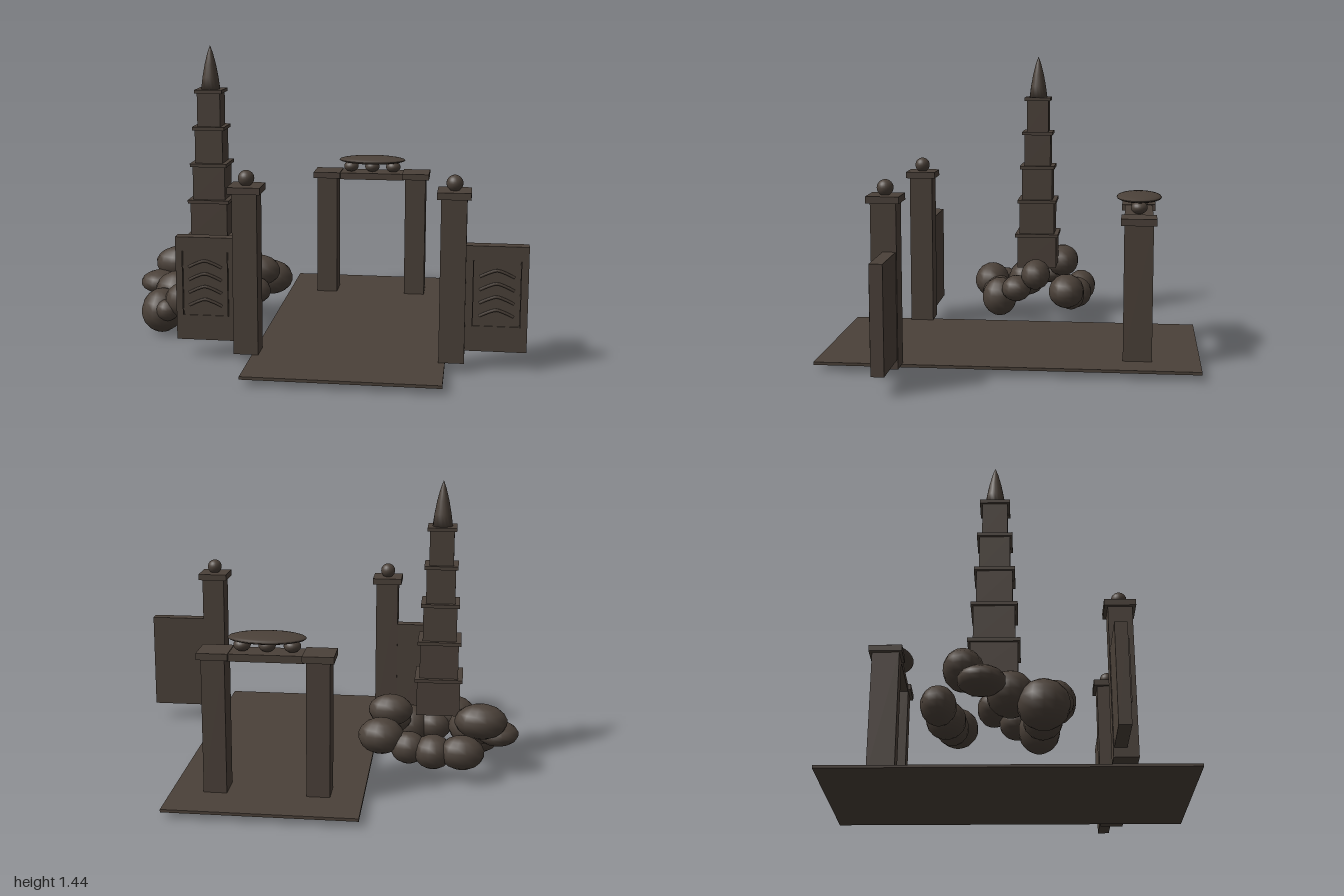
import * as THREE from 'three';

export function createModel() {
  const root = new THREE.Group();
  const stone = new THREE.MeshStandardMaterial({ color: 0x4b4139 });
  stone.name = 'darkStone';

  const add = (parent, name, geometry, x = 0, y = 0, z = 0) => {
    const mesh = new THREE.Mesh(geometry, stone);
    mesh.name = name;
    mesh.position.set(x, y, z);
    parent.add(mesh);
    return mesh;
  };
  // box given by its centre in x and z and by its bottom and top
  const block = (parent, name, x, z, w, d, y0, y1) =>
    add(parent, name, new THREE.BoxGeometry(w, y1 - y0, d), x, (y0 + y1) / 2, z);
  const ellipsoid = (parent, name, p, r, ws = 24, hs = 14) => {
    const mesh = add(parent, name, new THREE.SphereGeometry(1, ws, hs), ...p);
    mesh.scale.set(...r);
    return mesh;
  };
  const group = (name, x = 0, z = 0) => {
    const g = new THREE.Group();
    g.name = name;
    g.position.set(x, 0, z);
    root.add(g);
    return g;
  };

  // paved path
  block(root, 'path', 0.177, 0, 0.9, 1.8, 0.03, 0.044);

  // entrance pillars, each with a side wall carrying a chevron relief
  for (const [name, x, side] of [['rightPillar', -0.301, -1], ['leftPillar', 0.656, 1]]) {
    const g = group(name, x, 0.54);
    block(g, 'post', 0, 0, 0.117, 0.118, 0.044, 0.812);
    block(g, 'cap', 0, 0, 0.153, 0.153, 0.81, 0.842);
    ellipsoid(g, 'finial', [0, 0.874, 0], [0.038, 0.038, 0.038]);

    const wx = side * 0.2;
    block(g, 'wall', wx, -0.025, 0.284, 0.06, 0.09, 0.588);
    for (const s of [-1, 1]) {
      block(g, 'reliefBar', wx + s * 0.108, 0.008, 0.005, 0.01, 0.21, 0.52);
    }
    block(g, 'reliefSill', wx, 0.007, 0.216, 0.006, 0.207, 0.212);
    const chevron = new THREE.CatmullRomCurve3([
      new THREE.Vector3(-0.078, -0.033, 0.005),
      new THREE.Vector3(-0.035, -0.011, 0.012),
      new THREE.Vector3(0, 0, 0.015),
      new THREE.Vector3(0.035, -0.011, 0.012),
      new THREE.Vector3(0.078, -0.033, 0.005),
    ]);
    const tube = new THREE.TubeGeometry(chevron, 16, 0.007, 6);
    for (let i = 0; i < 4; i++) add(g, 'chevron', tube, wx, 0.478 - i * 0.062, 0);
  }

  // rear gate with an oval crown on three balls
  const gate = group('gate', 0.177, -0.606);
  for (const s of [-1, 1]) {
    block(gate, 'gatePost', s * 0.242, 0, 0.11, 0.136, 0.044, 0.69);
    block(gate, 'gateCap', s * 0.243, 0, 0.146, 0.166, 0.688, 0.72);
  }
  block(gate, 'lintel', 0, 0, 0.36, 0.136, 0.682, 0.717);
  for (const x of [-0.116, 0, 0.116]) {
    ellipsoid(gate, 'crownBall', [x, 0.746, 0], [0.04, 0.03, 0.04]);
  }
  ellipsoid(gate, 'crownOval', [0, 0.783, 0], [0.182, 0.021, 0.109], 32, 12);

  // stepped tower: five shrinking tiers with ledges, and a spire
  const tower = group('tower', -0.598, -0.054);
  for (let i = 0; i < 5; i++) {
    const top = 0.477 + i * 0.186;
    const w = 0.212 - i * 0.0235;
    block(tower, 'tier', 0, 0, w, w, top - 0.187, top - 0.015);
    block(tower, 'ledge', 0, 0, w + 0.023, w + 0.023, top - 0.017, top);
  }
  const spire = [[0, 1.22], [0.049, 1.22], [0.041, 1.28], [0.029, 1.345], [0.015, 1.4], [0, 1.442]];
  add(tower, 'spire', new THREE.LatheGeometry(spire.map(p => new THREE.Vector2(...p)), 16));

  // ring of boulders at the tower foot: centre, radii
  const boulders = [
    [[-0.72, 0.15, -0.29], [0.11, 0.085, 0.08]],
    [[-0.58, 0.14, -0.265], [0.095, 0.085, 0.09]],
    [[-0.46, 0.15, -0.245], [0.09, 0.08, 0.075]],
    [[-0.325, 0.2, -0.228], [0.115, 0.09, 0.095]],
    [[-0.36, 0.28, -0.06], [0.112, 0.08, 0.078]],
    [[-0.37, 0.2, 0.045], [0.09, 0.07, 0.08]],
    [[-0.455, 0.135, 0.145], [0.098, 0.105, 0.095]],
    [[-0.57, 0.14, 0.16], [0.1, 0.085, 0.09]],
    [[-0.665, 0.185, 0.21], [0.125, 0.095, 0.095]],
    [[-0.82, 0.112, 0.16], [0.105, 0.112, 0.115]],
    [[-0.775, 0.135, 0.235], [0.06, 0.055, 0.055]],
    [[-0.77, 0.18, 0.02], [0.12, 0.1, 0.105]],
    [[-0.895, 0.19, -0.1], [0.105, 0.06, 0.105]],
    [[-0.81, 0.275, -0.18], [0.13, 0.088, 0.09]],
  ];
  const rocks = group('boulders');
  for (const [p, r] of boulders) ellipsoid(rocks, 'boulder', p, r, 14, 9);

  return root;
}
